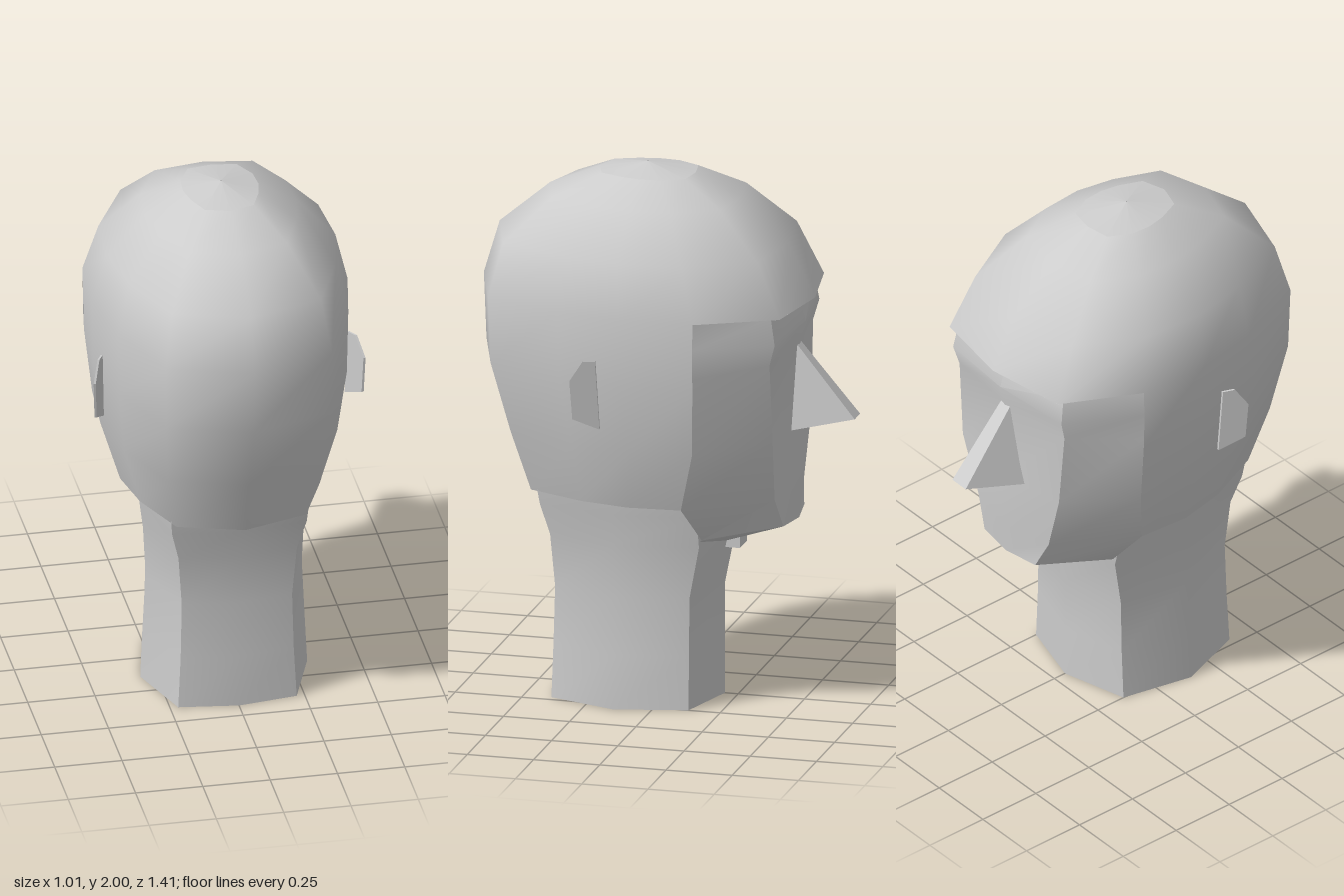
import * as THREE from 'three';
import { toCreasedNormals } from 'three/addons/utils/BufferGeometryUtils.js';
import { ConvexGeometry } from 'three/addons/geometries/ConvexGeometry.js';

// Skin a list of equal-length point rows; keep(i, j) can leave quads out.
function loft(rows, closed, keep = () => true) {
  const n = rows[0].length, index = [];
  for (let i = 0; i < rows.length - 1; i++) {
    for (let j = 0; j < (closed ? n : n - 1); j++) {
      if (!keep(i, j)) continue;
      const k = (j + 1) % n;
      const a = i * n + j, b = i * n + k, c = a + n, d = b + n;
      index.push(a, b, d, a, d, c);
    }
  }
  const g = new THREE.BufferGeometry();
  g.setAttribute('position', new THREE.Float32BufferAttribute(rows.flat(2), 3));
  g.setIndex(index);
  g.computeVertexNormals();
  return g;
}

// Mirror a half section (back centre, side points, front centre) into a closed ring.
function mirrorRing(half) {
  const other = half.slice(1, -1).reverse().map(([x, y, z]) => [-x, y, z]);
  return [...half, ...other];
}

// Twelve-sided skull section: half width, back z and front z.
const PLAN = [[0, 1], [0.65, 0.92], [0.9, 0.685], [1, 0.484], [0.96, 0.27], [0.65, 0.04], [0, 0]];
function skullRing([y, w, back, front]) {
  return mirrorRing(PLAN.map(([x, t]) => [x * w, y, front + t * (back - front)]));
}

export function createModel() {
  const group = new THREE.Group();
  const material = new THREE.MeshStandardMaterial({ color: 0xcccccc, side: THREE.DoubleSide });
  material.name = 'plain grey';
  const add = (name, geometry) => {
    const mesh = new THREE.Mesh(geometry, material);
    mesh.name = name;
    group.add(mesh);
    return mesh;
  };

  // Skull: full rings above the brow, open at the face below it.
  const skull = [
    [0.79, 0.37, 0.54, -0.378],
    [1.02, 0.44, 0.62, -0.49],
    [1.28, 0.47, 0.70, -0.533],
    [1.53, 0.475, 0.71, -0.54],
    [1.73, 0.425, 0.65, -0.44],
    [1.89, 0.28, 0.46, -0.26],
    [1.97, 0.14, 0.27, -0.09],
  ].map(skullRing);
  add('skull', loft(skull, true, (i, j) => i > 2 || j < 4 || j > 7));
  add('crown', loft([skull[6], skullRing([2, 0.002, 0.092, 0.088])], true));
  add('skullBase', loft([skullRing([0.79, 0.2, 0.3, 0]), skull[0]], true,
    (i, j) => j < 4 || j > 7));

  // Face: each row holds side, corner and centre points, from brim to throat.
  const faceRows = [
    [[0.456, 1.53, -0.2], [0.309, 1.53, -0.49], [0, 1.53, -0.54]],
    [[0.456, 1.53, -0.2], [0.30, 1.53, -0.455], [0, 1.53, -0.48]],
    [[0.455, 1.43, -0.2], [0.31, 1.43, -0.472], [0, 1.44, -0.505]],
    [[0.453, 1.32, -0.2], [0.30, 1.35, -0.45], [0, 1.36, -0.483]],
    [[0.422, 1.02, -0.19], [0.275, 1.05, -0.455], [0, 1.04, -0.497]],
    [[0.355, 0.79, -0.13], [0.2, 0.81, -0.442], [0, 0.81, -0.495]],
    [[0.25, 0.65, -0.18], [0.145, 0.695, -0.46], [0, 0.69, -0.48]],
    [[0.24, 0.64, -0.17], [0.13, 0.62, -0.24], [0, 0.61, -0.25]],
    [[0.29, 0.79, -0.04], [0.15, 0.7, -0.1], [0, 0.66, -0.15]],
  ].map((row) => [
    ...row.map(([x, y, z]) => [-x, y, z]),
    ...row.slice(0, 2).reverse(),
  ]);
  add('face', toCreasedNormals(loft(faceRows, false), 0.55));

  // Nose: a flat-bridged wedge.
  const nose = [];
  for (const s of [-1, 1]) {
    nose.push(
      new THREE.Vector3(s * 0.025, 1.36, -0.475),
      new THREE.Vector3(s * 0.038, 1.09, -0.70),
      new THREE.Vector3(s * 0.11, 1.05, -0.475),
    );
  }
  add('nose', new ConvexGeometry(nose));

  // Neck: open tube, angular at the four corners and flared at the top.
  const neck = [
    // y, corner x, side x, back z, front z
    [0, 0.22, 0.31, 0.425, -0.2],
    [0.2, 0.21, 0.3, 0.42, -0.2],
    [0.42, 0.205, 0.29, 0.415, -0.2],
    [0.62, 0.22, 0.3, 0.43, -0.24],
    [0.74, 0.25, 0.315, 0.46, -0.24],
    [0.86, 0.26, 0.33, 0.48, -0.24],
  ].map(([y, cx, sx, back, front]) => mirrorRing([
    [0, y, back], [cx, y, back - 0.03], [sx, y, 0.14], [cx + 0.03, y, front + 0.07], [0, y, front],
  ]));
  add('neck', toCreasedNormals(loft(neck, true), 0.95));

  // Small throat bump under the chin.
  const throat = add('throat', new THREE.BoxGeometry(0.1, 0.06, 0.06));
  throat.position.set(0, 0.6, -0.24);

  // Ears: thin plates angled out from the head.
  for (const s of [-1, 1]) {
    const outline = [[0.165, 1.365], [0.205, 1.368], [0.25, 1.295], [0.24, 1.15], [0.15, 1.105]];
    const shape = new THREE.Shape(outline.map(([z, y]) => new THREE.Vector2(z, y)));
    const ear = new THREE.ExtrudeGeometry(shape, { depth: 0.008, bevelEnabled: false });
    const p = ear.attributes.position;
    for (let i = 0; i < p.count; i++) {
      const z = p.getX(i);
      p.setXYZ(i, s * (0.452 + (z - 0.16) * 0.5 + p.getZ(i)), p.getY(i), z);
    }
    if (s > 0) {
      // Swapping axes mirrors the plate, so turn its corners around on this side.
      for (let i = 0; i < p.count; i += 3) {
        const a = [p.getX(i), p.getY(i), p.getZ(i)];
        p.setXYZ(i, p.getX(i + 1), p.getY(i + 1), p.getZ(i + 1));
        p.setXYZ(i + 1, ...a);
      }
    }
    ear.computeVertexNormals();
    add(s > 0 ? 'leftEar' : 'rightEar', ear);
  }

  return group;
}
